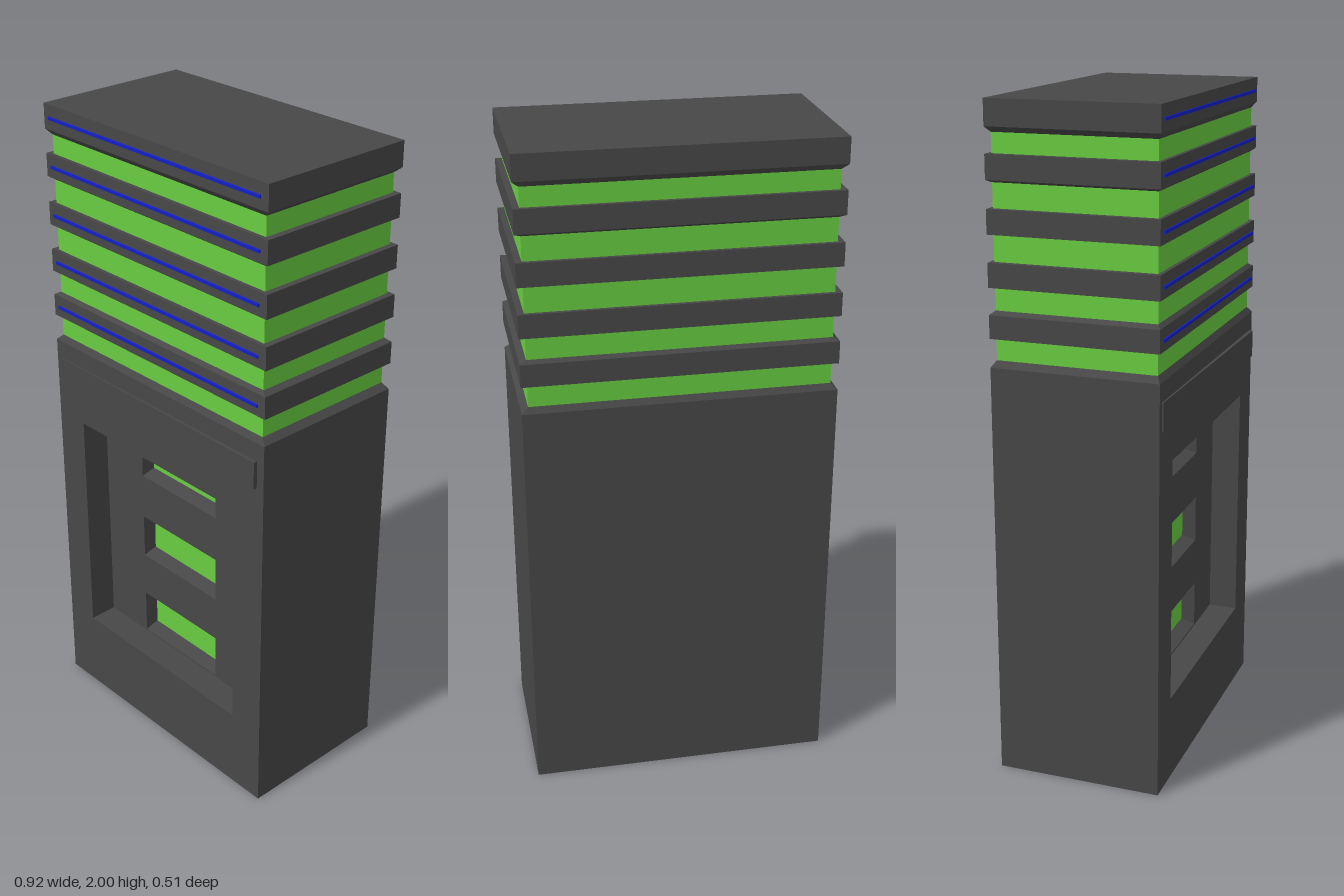
import * as THREE from 'three';

const HW = 0.458, HD = 0.251, ZC = -0.006; // half width, half depth, depth centre
const IW = 0.439, ID = 0.239;              // inner core half sizes

// Rectangular loft through levels [y, halfWidth, halfDepth]
function loft(levels, caps = true) {
  const pos = [], idx = [];
  for (const [y, w, d] of levels) pos.push(w, y, d, w, y, -d, -w, y, -d, -w, y, d);
  const n = levels.length - 1;
  for (let l = 0; l < n; l++) for (let i = 0; i < 4; i++) {
    const a = l * 4 + i, b = l * 4 + (i + 1) % 4;
    idx.push(a, b, b + 4, a, b + 4, a + 4);
  }
  const t = n * 4;
  if (caps) idx.push(0, 2, 1, 0, 3, 2, t, t + 1, t + 2, t, t + 2, t + 3);
  const g = new THREE.BufferGeometry();
  g.setAttribute('position', new THREE.Float32BufferAttribute(pos, 3));
  g.setIndex(idx);
  const flat = g.toNonIndexed();
  flat.computeVertexNormals();
  return flat;
}

function rect(path, x, y, hw, hh) {
  path.moveTo(x - hw, y - hh).lineTo(x + hw, y - hh);
  path.lineTo(x + hw, y + hh).lineTo(x - hw, y + hh).closePath();
  return path;
}

export function createModel() {
  const root = new THREE.Group();
  root.name = 'tower';
  const dark = new THREE.MeshStandardMaterial({ color: 0x474747 });
  const darkDouble = new THREE.MeshStandardMaterial({ color: 0x474747, side: THREE.DoubleSide });
  const green = new THREE.MeshStandardMaterial({ color: 0x68cc40 });
  const blue = new THREE.MeshStandardMaterial({ color: 0x1420c8 });

  const add = (name, geo, mat, x = 0, y = 0, z = 0) => {
    const m = new THREE.Mesh(geo, mat);
    m.name = name;
    m.position.set(x, y, z);
    root.add(m);
    return m;
  };
  const box = (w, h, d) => new THREE.BoxGeometry(w, h, d);

  // Lower body: solid back, window plate, recessed front plate, bevelled shoulder
  const H = 1.257, back = ZC - HD, front = ZC + HD, floorZ = 0.155, paneZ = 0.11;
  const windows = [0.337, 0.632, 0.928];
  add('bodyBack', box(HW * 2, H, paneZ - back), dark, 0, H / 2, (paneZ + back) / 2);

  const plate = (name, holes, z0, z1) => {
    const s = rect(new THREE.Shape(), 0, H / 2, HW, H / 2);
    s.holes = holes.map(h => rect(new THREE.Path(), ...h));
    add(name, new THREE.ExtrudeGeometry(s, { depth: z1 - z0, bevelEnabled: false }), dark, 0, 0, z0);
  };
  plate('windowPlate', windows.map(y => [-0.002, y, 0.168, 0.073]), paneZ, floorZ);
  plate('frontPlate', [[-0.002, 0.632, 0.342, 0.373]], floorZ, front);
  add('shoulder', loft([[H, HW, HD], [1.275, IW, ID]]), dark, 0, 0, ZC);

  // Windows: tapered surround and lit pane
  for (const y of windows) {
    const surround = add('windowSurround',
      loft([[paneZ, 0.164, 0.058], [floorZ, 0.168, 0.073]], false), darkDouble, -0.002, y, 0);
    surround.rotation.x = Math.PI / 2;
    add('windowPane', box(0.335, 0.145, 0.004), green, -0.002, y, paneZ);
  }

  // Slightly skewed sign board above the recess
  const sign = add('signBoard', box(0.87, 0.085, 0.012), dark, -0.004, 1.158, 0.247);
  sign.rotation.y = -0.009;

  // Upper core and its stacked ledges
  add('upperCore', box(IW * 2, 0.66, ID * 2), green, 0, 1.59, ZC);
  const ledges = [ // bottom, top, lower bevel, upper bevel
    [1.34, 1.408, 0, 0.01], [1.485, 1.555, 0, 0], [1.633, 1.703, 0, 0],
    [1.782, 1.852, 0.008, 0], [1.925, 2, 0.016, 0],
  ];
  for (const [y0, y1, lower, upper] of ledges) {
    const levels = [[y0, HW, HD], [y1, HW, HD]];
    if (lower) levels.unshift([y0 - lower, IW, ID]);
    if (upper) levels.push([y1 + upper, IW, ID]);
    add('ledge', loft(levels), dark, 0, 0, ZC);
    add('lightStrip', box(0.866, 0.009, 0.01), blue, -0.002, (y0 + y1) / 2 - 0.002, 0.245);
  }
  return root;
}
